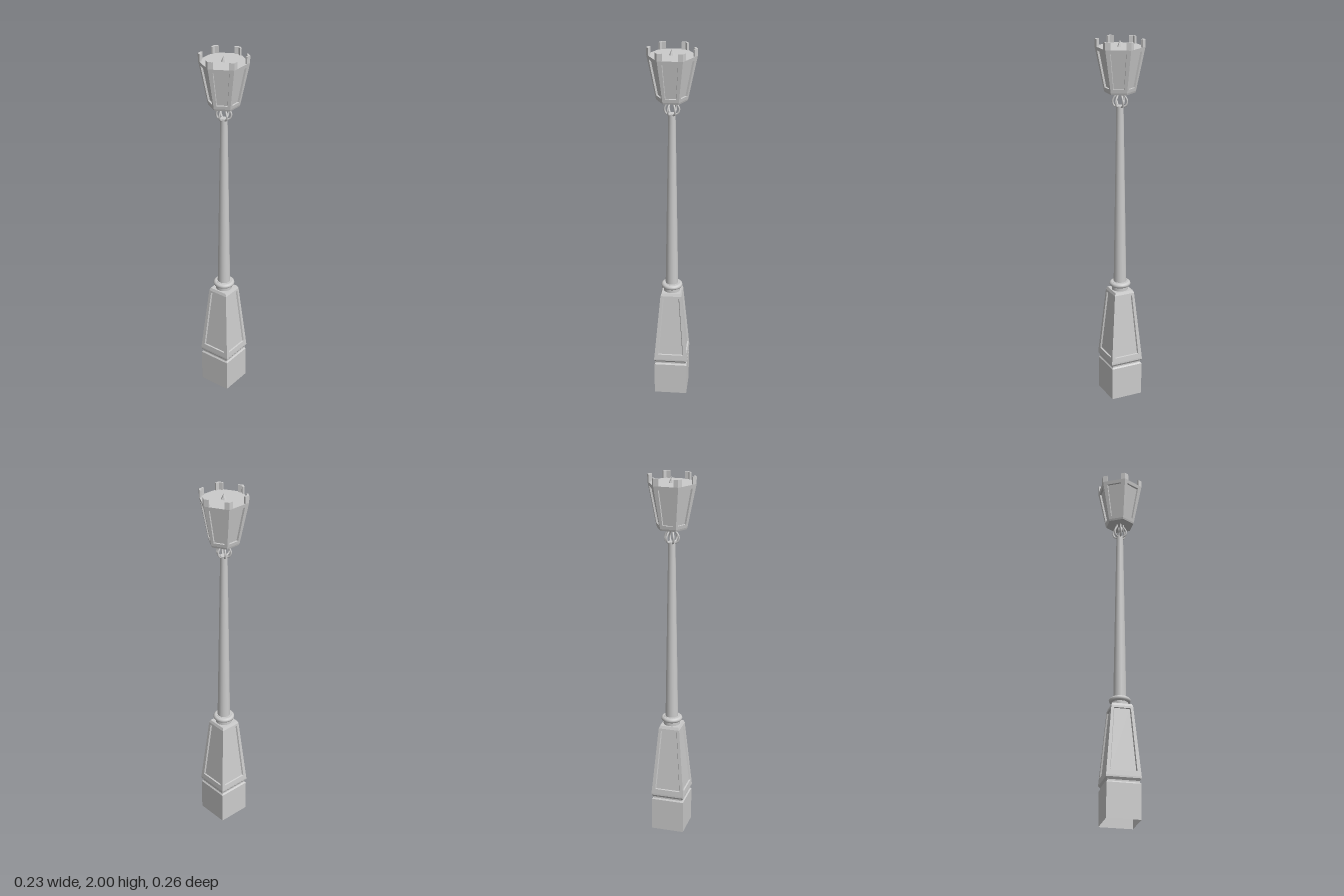
import * as THREE from 'three';

const material = new THREE.MeshStandardMaterial({ color: 0xcccccc, side: THREE.DoubleSide });
const flatMaterial = new THREE.MeshStandardMaterial({ color: 0xcccccc, side: THREE.DoubleSide, flatShading: true });

function add(parent, name, geometry, mat = material, y = 0) {
  const mesh = new THREE.Mesh(geometry, mat);
  mesh.name = name;
  mesh.position.y = y;
  parent.add(mesh);
  return mesh;
}

// Prism with n sides from [circumradius, y] rings, first corner at angle start from +z
function prism(profile, n, start) {
  const points = profile.map(([r, y]) => new THREE.Vector2(r, y));
  return new THREE.LatheGeometry(points, n, start);
}

// Tapered n-sided body whose every side has a recessed panel.
// rings: [apothem, y] bottom and top; inset: border heights and widths
function panelledBody(n, start, [a0, y0], [a1, y1], inset) {
  const positions = [];
  const k = Math.tan(Math.PI / n);
  const out = (t) => a0 + (a1 - a0) * t;
  const quad = (a, b, c, d) => [a, b, c, a, c, d].forEach((p) => positions.push(p.x, p.y, p.z));
  const t0 = inset.bottom / (y1 - y0);
  const t1 = 1 - inset.top / (y1 - y0);
  for (let i = 0; i < n; i++) {
    const angle = start + (i * 2 * Math.PI) / n;
    const place = (x, t, depth = 0) =>
      new THREE.Vector3(x, y0 + (y1 - y0) * t, out(t) - depth).applyAxisAngle(new THREE.Vector3(0, 1, 0), angle);
    const ring = (w0, w1, s0, s1, depth) =>
      [place(-w0, s0, depth), place(w0, s0, depth), place(w1, s1, depth), place(-w1, s1, depth)];
    const p0 = out(t0) * k - inset.side0;
    const p1 = out(t1) * k - inset.side1;
    const outer = ring(a0 * k, a1 * k, 0, 1, 0);
    const rim = ring(p0, p1, t0, t1, 0);
    const panel = ring(p0 - inset.bevel, p1 - inset.bevel, t0 + inset.bevel, t1 - inset.bevel, inset.depth);
    for (let j = 0; j < 4; j++) {
      const m = (j + 1) % 4;
      quad(outer[j], outer[m], rim[m], rim[j]);
      quad(rim[j], rim[m], panel[m], panel[j]);
    }
    quad(...panel);
  }
  const geometry = new THREE.BufferGeometry();
  geometry.setAttribute('position', new THREE.Float32BufferAttribute(positions, 3));
  geometry.computeVertexNormals();
  return geometry;
}

function buildPedestal() {
  const group = new THREE.Group();
  group.name = 'pedestal';
  const square = (profile) => prism(profile.map(([h, y]) => [h * Math.SQRT2, y]), 4, Math.PI / 4);
  // Plinth is open underneath, with a grooved moulding above
  add(group, 'plinth', square([[0.09, 0], [0.09, 0.185], [0.084, 0.193], [0.084, 0.201], [0.092, 0.213], [0.092, 0.222]]), flatMaterial);
  add(group, 'panelledShaft', panelledBody(4, 0, [0.092, 0.222], [0.058, 0.61],
    { bottom: 0.028, top: 0.012, side0: 0.019, side1: 0.014, bevel: 0.004, depth: 0.008 }), flatMaterial);
  add(group, 'shaftCap', square([[0.058, 0.61], [0.052, 0.625], [0, 0.625]]), flatMaterial);
  return group;
}

function buildPole() {
  const group = new THREE.Group();
  group.name = 'pole';
  add(group, 'neck', new THREE.CylinderGeometry(0.045, 0.045, 0.035, 24), material, 0.637);
  const collar = add(group, 'collarRing', new THREE.TorusGeometry(0.044, 0.014, 10, 32), material, 0.658);
  collar.rotation.x = Math.PI / 2;
  add(group, 'collarTop', new THREE.CylinderGeometry(0.042, 0.046, 0.016, 24), material, 0.664);
  add(group, 'shaft', new THREE.CylinderGeometry(0.019, 0.035, 1.0, 16), material, 1.155);
  return group;
}

function buildBrackets() {
  const group = new THREE.Group();
  group.name = 'brackets';
  const path = new THREE.CatmullRomCurve3([
    [0.012, 1.648], [0.03, 1.655], [0.038, 1.677], [0.031, 1.697], [0.022, 1.71], [0.022, 1.735],
  ].map(([r, y]) => new THREE.Vector3(0, y, r)));
  const geometry = new THREE.TubeGeometry(path, 20, 0.005, 8);
  for (let i = 0; i < 6; i++) {
    add(group, 'curvedBracket', geometry).rotation.y = (i * Math.PI) / 3;
  }
  return group;
}

function buildLantern() {
  const group = new THREE.Group();
  group.name = 'lantern';
  const apothem = Math.cos(Math.PI / 6);
  const top = 1.962;
  add(group, 'panelledCage', panelledBody(6, Math.PI / 6, [0.083 * apothem, 1.735], [0.13 * apothem, top],
    { bottom: 0.018, top: 0.02, side0: 0.015, side1: 0.022, bevel: 0.002, depth: 0.01 }), flatMaterial);
  add(group, 'floorPlate', prism([[0, 1.725], [0.079, 1.725], [0.083, 1.735]], 6, 0), flatMaterial);
  add(group, 'topPlate', prism([[0.13, top], [0, top]], 6, 0), flatMaterial);

  // Angle-shaped posts rising above each corner of the plate
  const length = 0.025;
  const dx = length * Math.cos(Math.PI / 6);
  const dz = length * Math.sin(Math.PI / 6);
  const corner = 0.13;
  const inner = 0.0115;
  const side = 0.01;
  const chevron = new THREE.Shape([
    [0, -corner], [dx, -corner + dz],
    [dx - side * 0.5, -corner + dz + side * apothem],
    [0, -corner + inner],
    [-dx + side * 0.5, -corner + dz + side * apothem],
    [-dx, -corner + dz],
  ].map(([x, y]) => new THREE.Vector2(x, y)));
  const post = new THREE.ExtrudeGeometry(chevron, { depth: 2 - top, bevelEnabled: false });
  post.rotateX(-Math.PI / 2);
  for (let i = 0; i < 6; i++) {
    add(group, 'cornerPost', post, flatMaterial, top).rotation.y = (i * Math.PI) / 3;
  }
  add(group, 'finial', new THREE.ConeGeometry(0.015, 0.034, 6), flatMaterial, top + 0.016);
  return group;
}

export function createModel() {
  const model = new THREE.Group();
  model.name = 'lampPost';
  model.add(buildPedestal(), buildPole(), buildBrackets(), buildLantern());
  return model;
}
